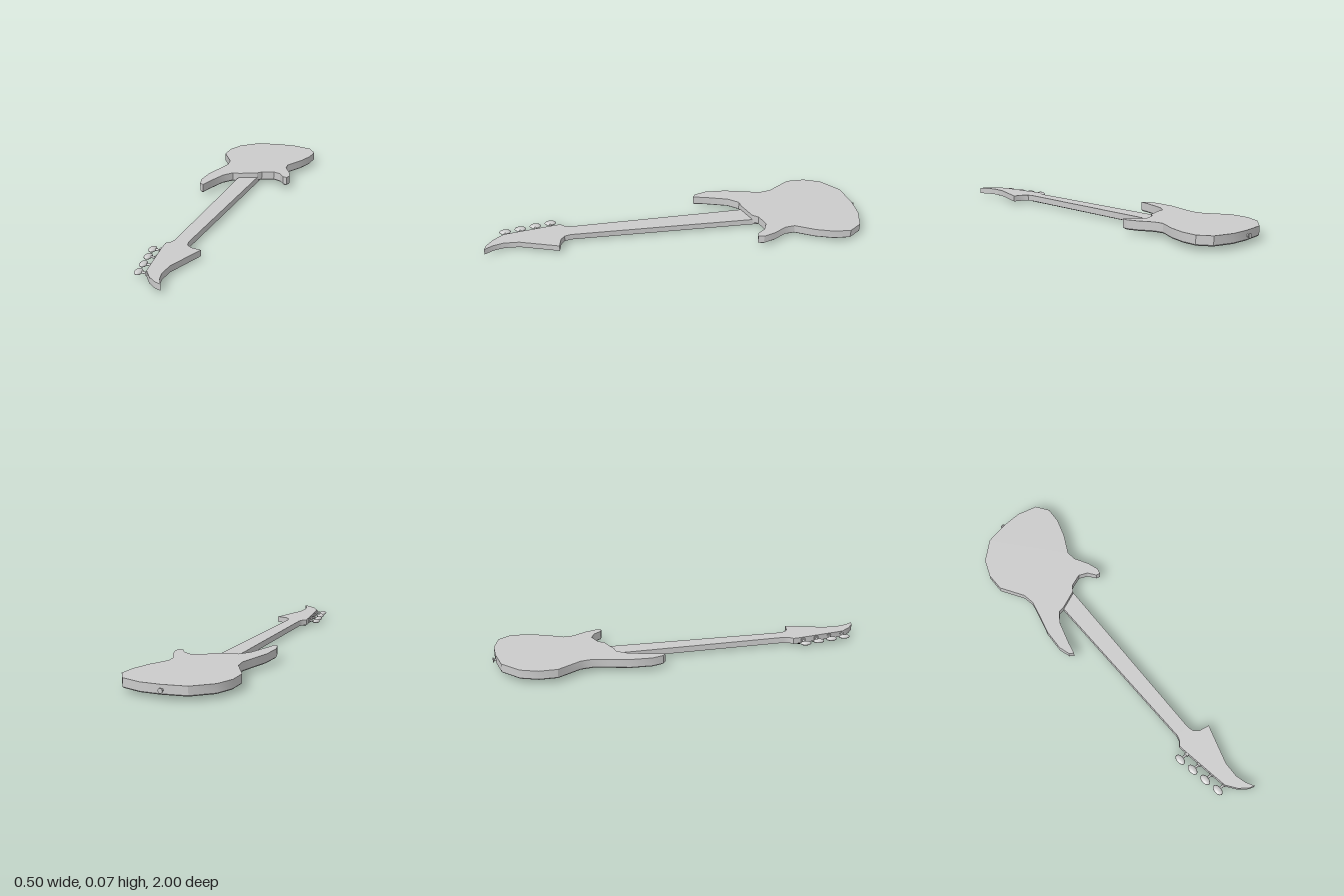
import * as THREE from 'three';
import { toCreasedNormals } from 'three/addons/utils/BufferGeometryUtils.js';

// Bass guitar lying face down: headstock towards +z, strings facing the floor.
export function createModel() {
  const model = new THREE.Group();
  const grey = new THREE.MeshStandardMaterial({ color: 0xcccccc });
  const black = new THREE.MeshStandardMaterial({ color: 0x080808 });

  function add(name, geometry, material, x = 0, y = 0, z = 0, parent = model) {
    const mesh = new THREE.Mesh(geometry, material);
    mesh.name = name;
    mesh.position.set(x, y, z);
    parent.add(mesh);
    return mesh;
  }

  // Slab from an (x, z) outline, between two heights, with an optional chamfer
  function slab(outline, bottom, top, chamfer = 0) {
    const shape = new THREE.Shape(outline.map(([x, z]) => new THREE.Vector2(x, z)));
    const g = new THREE.ExtrudeGeometry(shape, {
      depth: top - bottom - 2 * chamfer,
      bevelEnabled: chamfer > 0,
      bevelThickness: chamfer, bevelSize: chamfer, bevelOffset: -chamfer, bevelSegments: 1,
    });
    g.rotateX(Math.PI / 2);
    g.translate(0, top - chamfer, 0);
    return toCreasedNormals(g, 0.5);
  }

  // Body with two horns; the lower edge is chamfered
  const bodyOutline = [
    [0, -0.985], [-0.125, -0.96], [-0.22, -0.875], [-0.255, -0.785], [-0.255, -0.69],
    [-0.18, -0.57], [-0.17, -0.51], [-0.19, -0.42], [-0.215, -0.32], [-0.22, -0.21],
    [-0.202, -0.15], [-0.18, -0.135], [-0.165, -0.2], [-0.13, -0.32], [-0.09, -0.375],
    [-0.055, -0.38], [0.04, -0.42], [0.06, -0.45], [0.125, -0.475], [0.17, -0.455],
    [0.2, -0.415], [0.222, -0.41], [0.23, -0.44], [0.21, -0.5], [0.17, -0.57],
    [0.165, -0.62], [0.215, -0.72], [0.245, -0.815], [0.25, -0.9], [0.205, -0.965], [0.1, -0.99],
  ];
  add('body', slab(bodyOutline, 0.028, 0.071), grey);
  add('bodyFaceChamfer', slab(bodyOutline, 0.022, 0.035, 0.006), grey);

  // Neck and headstock in one piece
  add('neckAndHeadstock', slab([
    [-0.06, -0.5], [-0.058, -0.4], [-0.046, 0.55], [-0.055, 0.58], [-0.073, 0.6], [-0.07, 0.635],
    [-0.03, 0.9], [0.01, 0.955], [0.055, 0.99], [0.085, 1.0], [0.06, 0.955], [0.046, 0.9],
    [0.05, 0.82], [0.08, 0.725], [0.115, 0.615], [0.06, 0.605], [0.035, 0.585],
    [0.026, 0.55], [0.042, -0.4], [0.043, -0.5],
  ], 0.013, 0.045), grey);

  // Pickups and bridge
  add('neckPickup', new THREE.BoxGeometry(0.135, 0.01, 0.06), black, -0.01, 0.02, -0.605);
  add('bridgePickup', new THREE.BoxGeometry(0.13, 0.01, 0.06), black, -0.006, 0.02, -0.76);
  add('bridge', new THREE.BoxGeometry(0.145, 0.018, 0.032), black, -0.008, 0.014, -0.86);

  // Control knobs
  const knob = new THREE.CylinderGeometry(0.019, 0.016, 0.013, 12);
  [[0.173, -0.77], [0.172, -0.825], [0.15, -0.895], [0.117, -0.72], [0.115, -0.78], [0.105, -0.835]]
    .forEach(([x, z]) => add('controlKnob', knob, black, x, 0.0165, z));

  // Strings, posts and tuning machines
  const post = new THREE.CylinderGeometry(0.01, 0.008, 0.014, 10);
  const shaft = new THREE.CylinderGeometry(0.006, 0.006, 0.07, 8).rotateZ(Math.PI / 2);
  const paddle = new THREE.SphereGeometry(1, 12, 8).scale(0.019, 0.011, 0.031);
  const housing = new THREE.BoxGeometry(0.024, 0.02, 0.022);
  for (let i = 0; i < 4; i++) {
    const postX = -0.046 + i * 0.0155;
    const postZ = 0.64 + i * 0.09;
    const points = [
      new THREE.Vector3(-0.046 + i * 0.025, 0.008, -0.86),
      new THREE.Vector3(-0.036 + i * 0.0175, 0.0105, 0.56),
      new THREE.Vector3(postX, 0.008, postZ),
    ];
    const path = new THREE.CurvePath();
    path.add(new THREE.LineCurve3(points[0], points[1]));
    path.add(new THREE.LineCurve3(points[1], points[2]));
    add('string', new THREE.TubeGeometry(path, 24, 0.0015, 5), black);
    add('stringPost', post, black, postX, 0.007, postZ);

    const tuner = new THREE.Group();
    tuner.name = 'tuningMachine';
    tuner.position.set(-0.115 + i * 0.0145, 0.029, 0.655 + i * 0.08);
    add('tunerShaft', shaft, grey, 0.035, 0, 0, tuner);
    add('tunerHousing', housing, grey, 0.05, 0, 0, tuner);
    add('tunerButton', paddle, grey, 0, 0, 0, tuner);
    model.add(tuner);
  }

  // Strap button on the tail
  const button = new THREE.LatheGeometry(
    [[0, 0], [0.007, 0], [0.007, 0.012], [0.012, 0.016], [0.012, 0.02], [0, 0.02]]
      .map(([r, h]) => new THREE.Vector2(r, h)), 12).rotateX(-Math.PI / 2);
  add('strapButton', toCreasedNormals(button, 0.6), grey, -0.008, 0.046, -0.98);

  return model;
}
